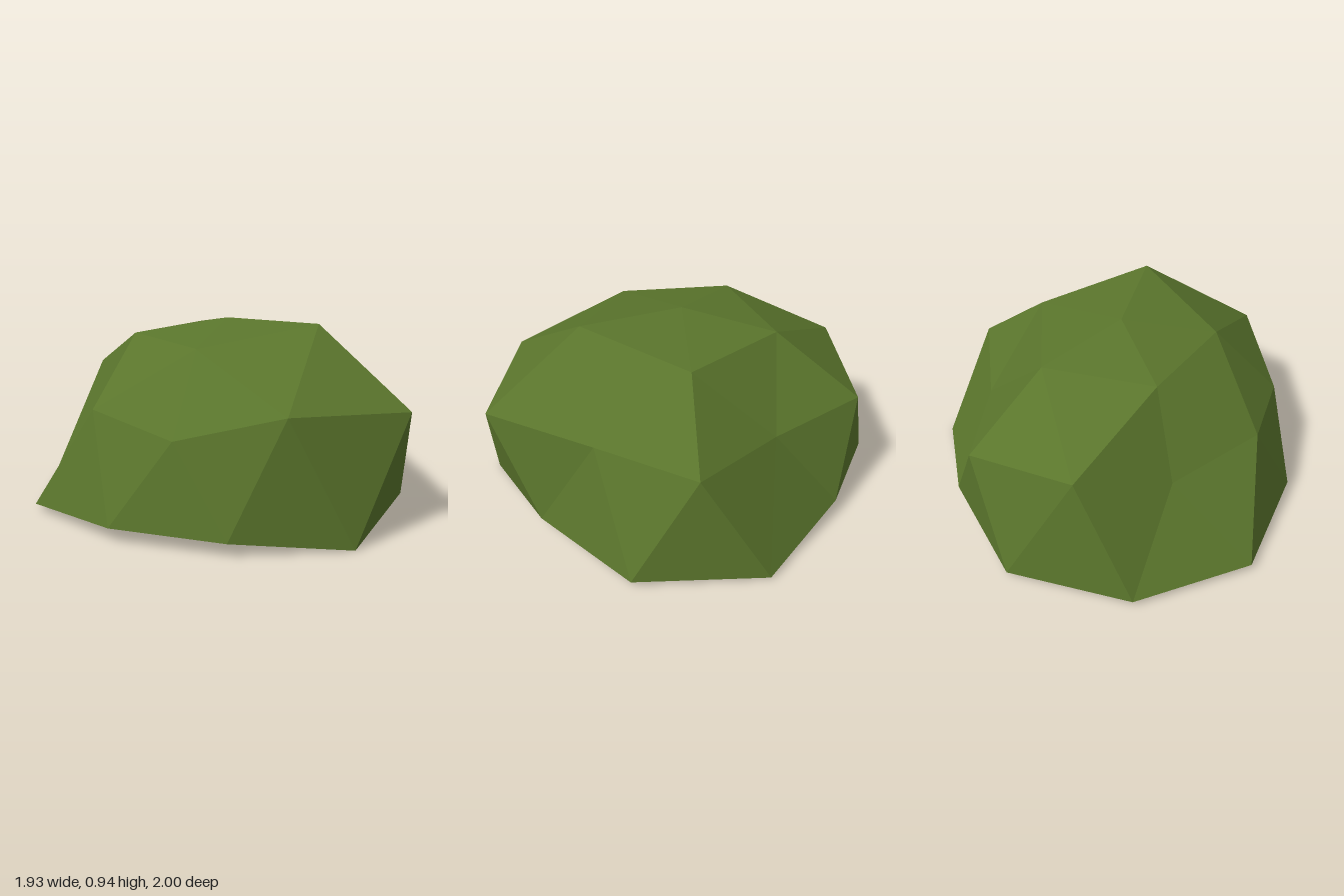
import * as THREE from 'three';

// Rings run from +x towards +z
const baseRing = [
  [0.955, 0.027, 0.32], [0.54, 0.083, 0.74], [-0.02, 0, 1], [-0.54, 0.07, 0.74], [-0.875, 0.073, 0.28],
  [-0.967, 0.037, -0.31], [-0.61, 0.032, -0.815], [-0.005, 0.027, -1], [0.54, 0.088, -0.73], [0.965, 0.01, -0.33],
];
const middleRing = [
  [0.905, 0.547, 0], [0.64, 0.57, 0.46], [0.335, 0.58, 0.973], [-0.29, 0.617, 0.84], [-0.65, 0.49, 0.48],
  [-0.787, 0.56, 0], [-0.56, 0.44, -0.405], [-0.295, 0.62, -0.825], [0.285, 0.535, -0.863], [0.55, 0.51, -0.4],
];
const upperRing = [
  [0.5, 0.86, 0], [0.173, 0.945, 0.505], [-0.385, 0.848, 0.28], [-0.385, 0.856, -0.28], [0.15, 0.855, -0.455],
];
const top = [0, 0.935, 0];

// Wraps an index around a ring
const at = (ring, i) => ring[(i + ring.length) % ring.length];

function facetMesh(name, triangles, material) {
  const geometry = new THREE.BufferGeometry();
  geometry.setAttribute('position', new THREE.Float32BufferAttribute(triangles.flat(2), 3));
  geometry.computeVertexNormals();
  const mesh = new THREE.Mesh(geometry, material);
  mesh.name = name;
  return mesh;
}

export function createModel() {
  const group = new THREE.Group();
  group.name = 'lowPolyBush';
  const leafGreen = new THREE.MeshStandardMaterial({ color: 0x5a752c });
  leafGreen.name = 'leaf green';
  leafGreen.flatShading = true;

  const dome = [], underside = [];

  // Side band
  for (let k = 0; k < 10; k++) {
    const e0 = at(baseRing, k - 1), e1 = at(baseRing, k);
    const m0 = at(middleRing, k), m1 = at(middleRing, k + 1);
    dome.push([e1, e0, m0], [e1, m0, m1]);
  }

  // Closed underside, fanned from the raised front left corner
  for (let k = 2; k < 10; k++) {
    underside.push([baseRing[1], at(baseRing, k), at(baseRing, k + 1)]);
  }

  // Shoulder facets and the crown fan
  for (let i = 0; i < 5; i++) {
    const r0 = at(upperRing, i), r1 = at(upperRing, i + 1);
    const before = at(middleRing, 2 * i - 1), below = at(middleRing, 2 * i), after = at(middleRing, 2 * i + 1);
    dome.push([below, before, r0], [after, below, r0], [after, r0, r1], [r1, r0, top]);
  }

  group.add(facetMesh('dome', dome, leafGreen), facetMesh('underside', underside, leafGreen));
  return group;
}
